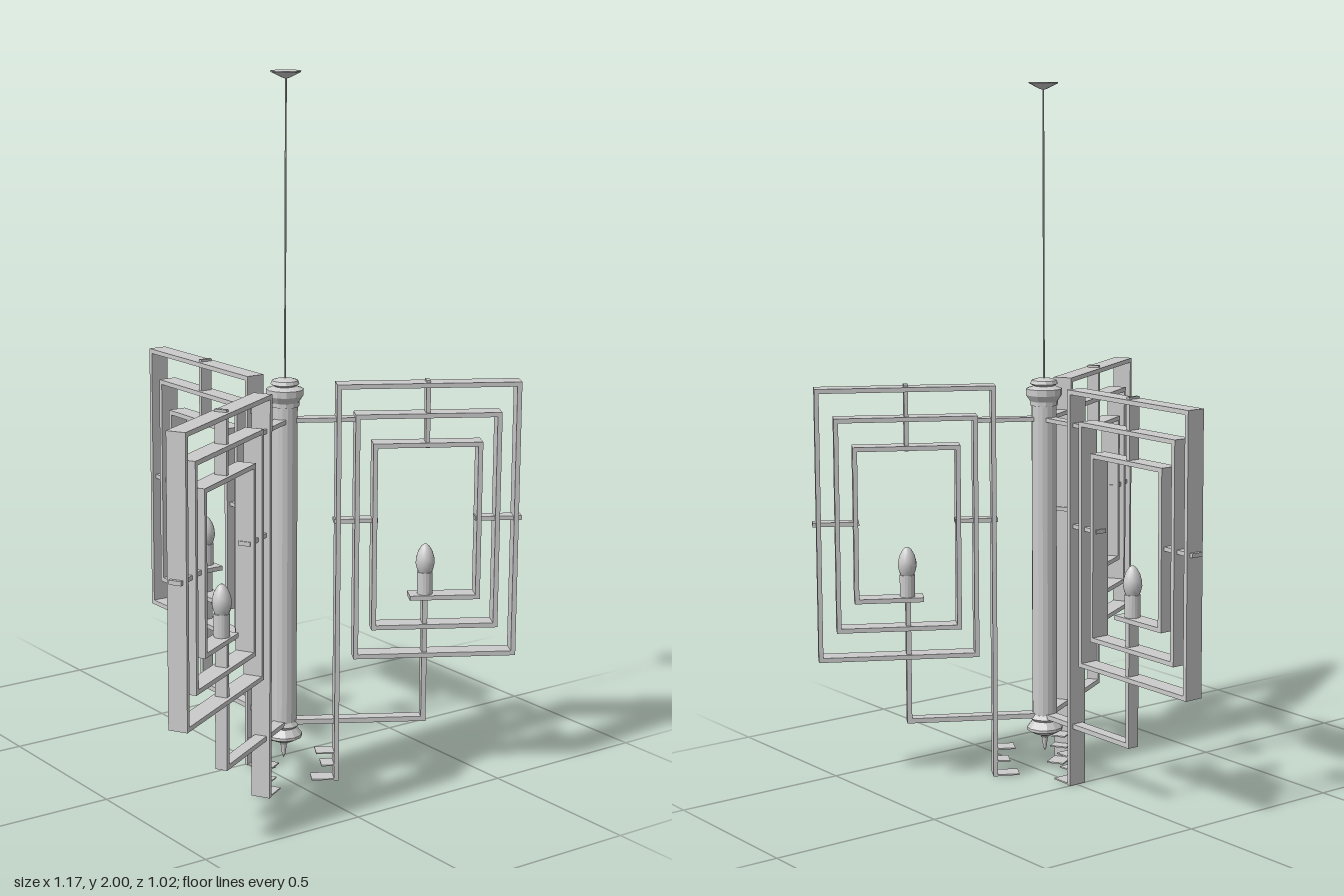
import * as THREE from 'three';

const material = new THREE.MeshStandardMaterial({ color: 0xcccccc, side: THREE.DoubleSide });
const faceted = new THREE.MeshStandardMaterial({ color: 0xcccccc, side: THREE.DoubleSide, flatShading: true });

function add(parent, name, geometry, mat = material) {
  const mesh = new THREE.Mesh(geometry, mat);
  mesh.name = name;
  parent.add(mesh);
  return mesh;
}

// Box given by its radial range, height range and width across the arm
function bar(parent, name, r0, r1, y0, y1, width) {
  const box = new THREE.BoxGeometry(r1 - r0, y1 - y0, width);
  return add(parent, name, box.translate((r0 + r1) / 2, (y0 + y1) / 2, 0));
}

function lathe(parent, name, profile, sides, mat) {
  const points = profile.map(([r, y]) => new THREE.Vector2(r, y));
  return add(parent, name, new THREE.LatheGeometry(points, sides), mat);
}

function createArm() {
  const arm = new THREE.Group();
  arm.name = 'arm';
  const h = 0.0065; // half thickness of the flat strip

  // Strip bent into a squared spiral, as [radius, height] corners
  const path = [
    [0.148, h], [0.148, 1.143], [0.648, 1.143], [0.648, 0.367], [0.2, 0.367],
    [0.2, 1.058], [0.595, 1.058], [0.595, 0.451], [0.25, 0.451],
    [0.25, 0.975], [0.543, 0.975], [0.543, 0.535], [0.358, 0.535],
  ];
  const spiral = new THREE.Group();
  spiral.name = 'spiralFrame';
  arm.add(spiral);
  for (let i = 0; i < path.length - 1; i++) {
    const [a, b] = [path[i], path[i + 1]];
    bar(spiral, 'frameStrip', Math.min(a[0], b[0]) - h, Math.max(a[0], b[0]) + h,
      Math.min(a[1], b[1]) - h, Math.max(a[1], b[1]) + h, 0.055);
  }

  // Small tabs at the foot of the long strip
  for (const [r, y] of [[0.078, 0.001], [0.105, 0.043], [0.09, 0.08]]) {
    bar(arm, 'footTab', r, 0.142, y, y + 0.004, 0.052);
  }

  // Pins tying the turns of the spiral together
  const w = 0.035;
  bar(arm, 'innerPin', 0.137, 0.26, 0.754, 0.766, w);
  bar(arm, 'outerPin', 0.533, 0.665, 0.754, 0.766, w);
  bar(arm, 'topPin', 0.39, 0.402, 0.965, 1.156, w);

  // Brackets to the column and the post under the candle
  bar(arm, 'upperBracket', 0.02, 0.2, 1.043, 1.055, w);
  bar(arm, 'lowerBracket', 0.02, 0.403, 0.168, 0.182, w);
  bar(arm, 'candlePost', 0.389, 0.403, 0.168, 0.535, w);

  // Candle sleeve and bulb
  const sleeve = lathe(arm, 'candleSleeve', [[0, 0.535], [0.022, 0.535], [0.022, 0.605], [0, 0.605]], 16, faceted);
  const bulb = lathe(arm, 'bulb', [
    [0.017, 0.6], [0.023, 0.613], [0.027, 0.63], [0.026, 0.645],
    [0.021, 0.663], [0.012, 0.679], [0.005, 0.685], [0, 0.686],
  ], 16);
  sleeve.position.x = bulb.position.x = 0.397;
  return arm;
}

export function createModel() {
  const model = new THREE.Group();
  model.name = 'chandelier';
  model.position.set(-0.003, 0, 0.153);

  // Central column with turned ends
  lathe(model, 'column', [[0, 0.16], [0.036, 0.16], [0.036, 1.09], [0, 1.09]], 16, faceted);
  lathe(model, 'topFinial', [
    [0, 1.088], [0.04, 1.088], [0.04, 1.1], [0.052, 1.118], [0.052, 1.136],
    [0.03, 1.144], [0.04, 1.15], [0.036, 1.16], [0.02, 1.165], [0, 1.166],
  ], 12, faceted);
  lathe(model, 'bottomFinial', [
    [0, 0.064], [0.005, 0.075], [0.009, 0.105], [0.014, 0.112], [0.03, 0.118],
    [0.052, 0.13], [0.052, 0.138], [0.036, 0.158], [0.044, 0.166], [0.036, 0.178], [0, 0.178],
  ], 12, faceted);

  // Hanging rod and ceiling canopy
  lathe(model, 'hangingRod', [[0.0025, 1.16], [0.0025, 1.99]], 8);
  lathe(model, 'canopy', [[0, 1.978], [0.012, 1.982], [0.042, 1.997], [0.042, 2], [0, 2]], 9, faceted);

  // Three arms around the column
  for (const degrees of [90, 210, 330]) {
    const arm = createArm();
    arm.rotation.y = THREE.MathUtils.degToRad(degrees);
    model.add(arm);
  }

  const root = new THREE.Group();
  root.name = 'pendantLight';
  root.add(model);
  return root;
}
